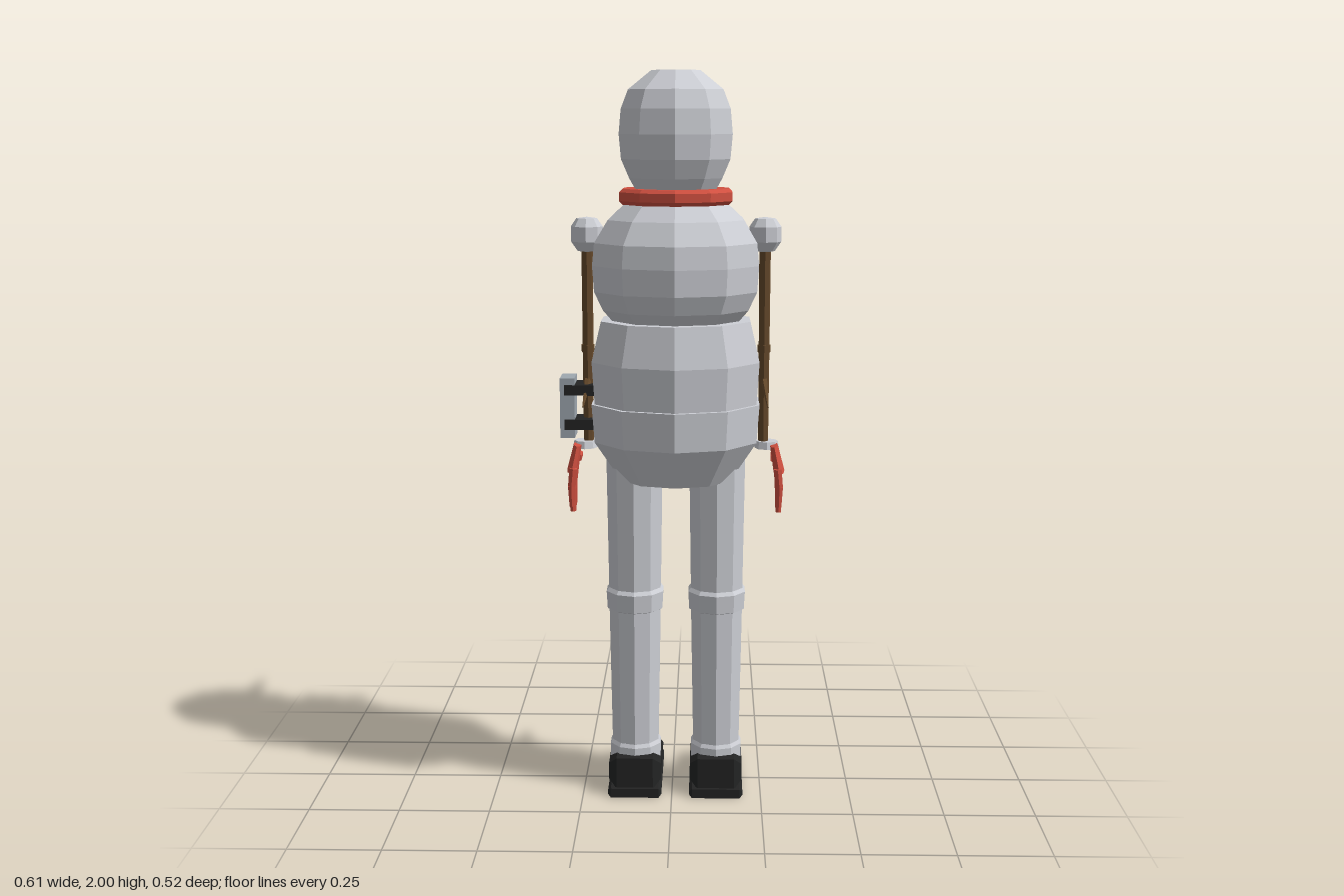
import * as THREE from 'three';

const mat = (name, color) => {
  const m = new THREE.MeshStandardMaterial({ color, flatShading: true });
  m.name = name;
  return m;
};

export function createModel() {
  const snow = mat('snow grey', 0xcdcfd5);
  const red = mat('knit red', 0xd05040);
  const black = mat('coal black', 0x232424);
  const wood = mat('stick brown', 0x65492b);
  const orange = mat('carrot orange', 0xe07c22);
  const steel = mat('device grey', 0x9fa8b0);
  const model = new THREE.Group();
  const CX = 0.01, CZ = 0.045; // body axis

  const add = (name, geo, m, x = 0, y = 0, z = 0, parent = model) => {
    const mesh = new THREE.Mesh(geo, m);
    mesh.name = name;
    mesh.position.set(x, y, z);
    parent.add(mesh);
    return mesh;
  };
  // Profile of [radius, height] pairs, bottom to top
  const lathe = (pts, sides = 10, sz = 1) =>
    new THREE.LatheGeometry(pts.map(p => new THREE.Vector2(...p)), sides).scale(1, 1, sz);
  const box = (x, y, z) => new THREE.BoxGeometry(x, y, z);
  // Tapered rod between two points
  const rod = (name, a, b, ra, rb, m, sides, parent) => {
    const p = new THREE.Vector3(...a), q = new THREE.Vector3(...b);
    const d = q.clone().sub(p);
    const mesh = add(name, new THREE.CylinderGeometry(rb, ra, d.length(), sides), m, 0, 0, 0, parent);
    mesh.position.copy(p).add(q).multiplyScalar(0.5);
    mesh.quaternion.setFromUnitVectors(new THREE.Vector3(0, 1, 0), d.normalize());
    return mesh;
  };

  // Head and body balls
  add('head', lathe([[0, 1.65], [0.09, 1.65], [0.13, 1.72], [0.152, 1.77], [0.158, 1.835],
    [0.152, 1.9], [0.132, 1.95], [0.068, 2], [0, 2]]), snow, CX, 0, CZ);
  add('chest', lathe([[0, 1.32], [0.17, 1.33], [0.205, 1.37], [0.229, 1.42], [0.234, 1.49],
    [0.228, 1.55], [0.19, 1.61], [0.14, 1.655], [0, 1.66]], 10, 0.9), snow, CX, 0, CZ);
  add('belly', lathe([[0, 1.1], [0.229, 1.1], [0.238, 1.23], [0.211, 1.34], [0, 1.345]], 10, 0.88), snow, CX, 0, CZ);
  add('hips', lathe([[0, 0.9], [0.157, 0.9], [0.231, 1.01], [0.239, 1.115], [0, 1.115]], 10, 0.9), snow, CX, 0, CZ);

  // Face
  const nose = add('nose', new THREE.ConeGeometry(0.026, 0.17, 6), orange, CX, 1.825, -0.175);
  nose.rotation.x = -Math.PI / 2;
  const coal = (name, x, y, z, r) =>
    add(name, new THREE.IcosahedronGeometry(r, 0).scale(1, 1, 0.8), black, x, y, z);
  for (const s of [-1, 1]) coal('eye', CX + s * 0.057, 1.89, -0.099, 0.02);
  for (let i = -2.5; i <= 2.5; i++) {
    const a = i * 0.21;
    coal('mouthCoal', CX + 0.15 * Math.sin(a), 1.75 + 0.006 * i * i, CZ - 0.15 * Math.cos(a), 0.011);
  }
  for (const [y, z] of [[1.575, -0.155], [1.495, -0.164], [1.415, -0.157]]) coal('button', CX, y, z, 0.018);

  // Scarf with hanging tail
  add('scarf', lathe([[0.115, 1.65], [0.148, 1.65], [0.158, 1.66], [0.158, 1.683], [0.148, 1.692],
    [0.115, 1.692], [0.115, 1.65]], 10, 0.95), red, CX, 0, CZ);
  const tail = new THREE.Shape([[0.07, 1.685], [0.1, 1.68], [0.148, 1.61], [0.175, 1.53], [0.175, 1.48],
    [0.157, 1.48], [0.155, 1.53], [0.13, 1.6], [0.07, 1.655]].map(p => new THREE.Vector2(...p)));
  const tailGeo = new THREE.ExtrudeGeometry(tail, { depth: 0.046, bevelEnabled: false });
  tailGeo.rotateY(Math.PI / 2);
  const tp = tailGeo.attributes.position;
  for (let i = 0; i < tp.count; i++) tp.setX(i, tp.getX(i) + (-tp.getZ(i) - 0.07) * 0.25);
  add('scarfTail', tailGeo, red, 0.066);

  // Shoe side outlines, toe towards -z
  const shoe = (pts, width, bevel) => {
    const g = new THREE.ExtrudeGeometry(new THREE.Shape(pts.map(p => new THREE.Vector2(...p))),
      { depth: width - 2 * bevel, bevelThickness: bevel, bevelSize: bevel, bevelOffset: -bevel, bevelSegments: 1 });
    return g.translate(0, 0, bevel - width / 2).rotateY(Math.PI / 2);
  };

  for (const s of [-1, 1]) {
    const side = s < 0 ? 'right' : 'left';
    const X = d => CX + s * d;

    // Leg
    const leg = new THREE.Group();
    leg.name = side + 'Leg';
    leg.position.set(X(0.114), 0, CZ);
    model.add(leg);
    add('thigh', new THREE.CylinderGeometry(0.081, 0.075, 0.42, 10), snow, 0, 0.78, 0, leg);
    add('knee', lathe([[0.07, 0.525], [0.08, 0.53], [0.083, 0.58], [0.074, 0.592], [0.06, 0.592]]), snow, 0, 0, 0, leg);
    add('shin', new THREE.CylinderGeometry(0.075, 0.067, 0.46, 10), snow, 0, 0.32, 0, leg);
    add('ankle', lathe([[0.06, 0.09], [0.074, 0.09], [0.074, 0.132], [0.068, 0.142], [0.05, 0.142]]), snow, 0, 0, 0, leg);
    add('sole', shoe([[-0.105, 0], [0.21, 0], [0.21, 0.026], [-0.105, 0.026]], 0.15, 0.008), black, 0, 0, 0, leg);
    add('shoe', shoe([[-0.095, 0.022], [0.208, 0.022], [0.208, 0.068], [0.05, 0.112], [-0.095, 0.112]],
      0.146, 0.022), black, 0, 0, 0, leg);

    // Stick arm
    const arm = new THREE.Group();
    arm.name = side + 'Arm';
    model.add(arm);
    add('shoulder', lathe([[0, 1.52], [0.026, 1.525], [0.043, 1.55], [0.043, 1.59], [0.028, 1.612], [0, 1.616]], 8),
      snow, X(0.24), 0, CZ, arm);
    rod('stick', [X(0.24), 1.54, CZ], [X(0.24), 1, CZ], 0.016, 0.014, wood, 7, arm);
    add('knot', new THREE.CylinderGeometry(0.018, 0.018, 0.02, 7), wood, X(0.24), 1.26, CZ, arm);
    rod('twig', [X(0.24), 1.18, CZ], [X(0.25), 1.11, 0.122], 0.011, 0.002, wood, 5, arm);
    add('wrist', new THREE.CylinderGeometry(0.03, 0.034, 0.02, 8), snow, X(0.25), 0.995, CZ, arm);

    // Mitten hand: palm, four fingers, thumb
    const palm = add('palm', new THREE.CylinderGeometry(0.038, 0.054, 0.075, 8).scale(0.28, 1, 1),
      red, X(0.276), 0.962, 0.075, arm);
    palm.rotation.z = s * 0.2;
    for (let i = 0; i < 4; i++) {
      const z = 0.042 + i * 0.026, tip = [0.82, 0.81, 0.815, 0.835][i];
      rod('finger', [X(0.278), 0.94, z], [X(0.283), 0.89, z], 0.012, 0.011, red, 6, arm);
      rod('fingertip', [X(0.283), 0.89, z], [X(0.282), tip, z], 0.011, 0.008, red, 6, arm);
    }
    rod('thumb', [X(0.272), 0.955, 0.05], [X(0.272), 0.95, -0.037], 0.013, 0.01, red, 6, arm);
  }

  // Wrist device strapped to the right arm
  const device = new THREE.Group();
  device.name = 'wristDevice';
  model.add(device);
  add('deviceCase', box(0.04, 0.165, 0.085), steel, -0.285, 1.1, CZ, device);
  for (const y of [1.15, 1.055]) add('strap', box(0.085, 0.028, 0.094), black, -0.25, y, CZ, device);

  return model;
}
